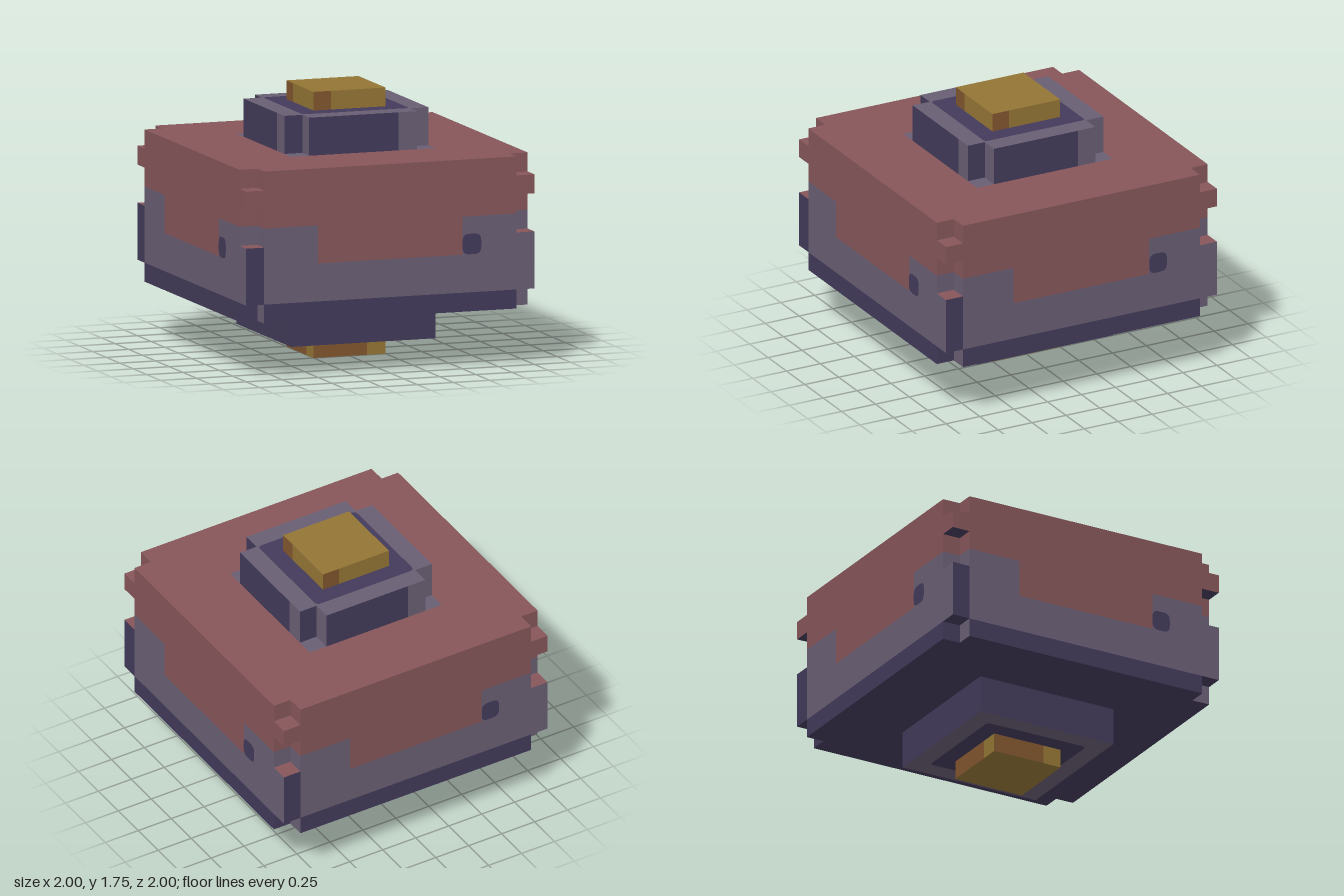
import * as THREE from 'three';
import { mergeGeometries } from 'three/addons/utils/BufferGeometryUtils.js';

const material = (name, color) => new THREE.MeshStandardMaterial({ name, color });

// Rectangle or rounded rectangle outline
function roundedShape(x0, x1, y0, y1, r) {
  const s = new THREE.Shape();
  s.moveTo(x0 + r, y0);
  s.lineTo(x1 - r, y0); s.quadraticCurveTo(x1, y0, x1, y0 + r);
  s.lineTo(x1, y1 - r); s.quadraticCurveTo(x1, y1, x1 - r, y1);
  s.lineTo(x0 + r, y1); s.quadraticCurveTo(x0, y1, x0, y1 - r);
  s.lineTo(x0, y0 + r); s.quadraticCurveTo(x0, y0, x0 + r, y0);
  return s;
}

// Square outline of half-width h with its corners cut out by c
function squareShape(h, c = 0) {
  const points = [];
  for (let i = 0; i < 4; i++) {
    const corner = c ? [[h, h - c], [h - c, h - c], [h - c, h]] : [[h, h]];
    for (const [x, y] of corner) {
      points.push(new THREE.Vector2(x, y).rotateAround(new THREE.Vector2(), i * Math.PI / 2));
    }
  }
  return new THREE.Shape(points);
}

// Collects coloured faces of one part and turns them into one mesh per colour
class Part {
  constructor(name) { this.name = name; this.faces = new Map(); }
  add(mat, geometry) {
    if (!this.faces.has(mat)) this.faces.set(mat, []);
    this.faces.get(mat).push(geometry);
  }
  // Upright face repeated on all four sides
  side(mat, shape, z) {
    for (let i = 0; i < 4; i++) {
      this.add(mat, new THREE.ShapeGeometry(shape, 4).translate(0, 0, z).rotateY(i * Math.PI / 2));
    }
  }
  wall(mat, x0, x1, y0, y1, z) {
    const shape = new THREE.Shape([[x0, y0], [x1, y0], [x1, y1], [x0, y1]].map(p => new THREE.Vector2(...p)));
    this.side(mat, shape, z);
  }
  // Level face looking up (1) or down (-1)
  level(mat, shape, y, up, hole) {
    if (hole) shape.holes.push(new THREE.Path(hole.getPoints(4)));
    this.add(mat, new THREE.ShapeGeometry(shape, 4).rotateX(-up * Math.PI / 2).translate(0, y, 0));
  }
  // Small level face repeated at the four corners
  corners(mat, y, up) {
    for (let i = 0; i < 4; i++) {
      this.add(mat, new THREE.PlaneGeometry(0.125, 0.125).rotateX(-up * Math.PI / 2)
        .translate(0.9375, y, 0.9375).rotateY(i * Math.PI / 2));
    }
  }
  build() {
    const group = new THREE.Group();
    group.name = this.name;
    for (const [mat, list] of this.faces) {
      const mesh = new THREE.Mesh(mergeGeometries(list), mat);
      mesh.name = `${this.name} ${mat.name}`;
      group.add(mesh);
    }
    return group;
  }
}

export function createModel() {
  const red = material('dusty red', 0x86565a);
  const grey = material('purple grey', 0x695e73);
  const indigo = material('dark indigo', 0x423a5a);
  const gold = material('gold', 0x937535);
  const brown = material('brown', 0x80552e);
  const inlay = () => roundedShape(-0.37, 0.37, -0.37, 0.37, 0.03);

  // Main block: painted walls
  const body = new Part('body');
  body.wall(indigo, -0.875, 0.875, 0.375, 0.5, 1);
  body.wall(grey, -0.875, 0.875, 0.5, 0.75, 1);
  body.wall(grey, -0.875, -0.5, 0.75, 1, 1);
  body.wall(red, -0.5, 0.5, 0.75, 1, 1);
  body.wall(grey, 0.5, 0.875, 0.75, 1, 1);
  body.wall(red, -0.875, 0.875, 1, 1.375, 1);
  body.side(indigo, roundedShape(0.5, 0.63, 0.75, 0.885, 0.045), 1.002);

  // Corner columns alternate between full and notched
  for (const [x0, x1, low] of [[-1, -0.875, indigo], [0.875, 1, grey]]) {
    body.wall(low, x0, x1, 0.375, 0.5, 0.875);
    body.wall(low, x0, x1, 0.5, 0.875, 1);
    body.wall(grey, x0, x1, 0.875, 1, 0.875);
    body.wall(red, x0, x1, 1, 1.125, 0.875);
    body.wall(red, x0, x1, 1.125, 1.25, 1);
    body.wall(red, x0, x1, 1.25, 1.375, 0.875);
  }
  body.corners(indigo, 0.5, -1);
  body.corners(red, 0.875, 1);
  body.corners(indigo, 1.125, -1);
  body.corners(red, 1.25, 1);
  body.level(red, squareShape(1, 0.125), 1.375, 1, squareShape(0.5));
  body.level(grey, squareShape(0.5), 1.375, 1);
  body.level(indigo, squareShape(1, 0.125), 0.375, -1);

  // Upper step with open corners
  const upper = new Part('upperStep');
  upper.wall(indigo, -0.375, 0.245, 1.375, 1.625, 0.5);
  upper.wall(grey, 0.245, 0.375, 1.375, 1.625, 0.5);
  upper.wall(indigo, -0.5, -0.375, 1.375, 1.625, 0.375);
  upper.wall(grey, 0.375, 0.5, 1.375, 1.625, 0.375);
  upper.level(grey, squareShape(0.5, 0.125), 1.625, 1);
  upper.level(indigo, inlay(), 1.627, 1);

  // Lower step
  const lower = new Part('lowerStep');
  lower.wall(indigo, -0.5, 0.5, 0.125, 0.375, 0.5);
  lower.level(grey, squareShape(0.5), 0.125, -1, inlay());
  lower.level(indigo, inlay(), 0.125, -1);

  // Gold studs at the top and bottom
  const topStud = new Part('topStud');
  topStud.wall(brown, -0.25, -0.13, 1.625, 1.75, 0.25);
  topStud.wall(gold, -0.13, 0.25, 1.625, 1.75, 0.25);
  topStud.level(gold, squareShape(0.25), 1.75, 1);

  const bottomStud = new Part('bottomStud');
  bottomStud.wall(brown, -0.25, 0.12, 0, 0.125, 0.25);
  bottomStud.wall(gold, 0.12, 0.25, 0, 0.125, 0.25);
  bottomStud.level(gold, squareShape(0.25), 0, -1);

  const model = new THREE.Group();
  model.name = 'steppedBlock';
  for (const part of [body, upper, lower, topStud, bottomStud]) model.add(part.build());
  return model;
}
